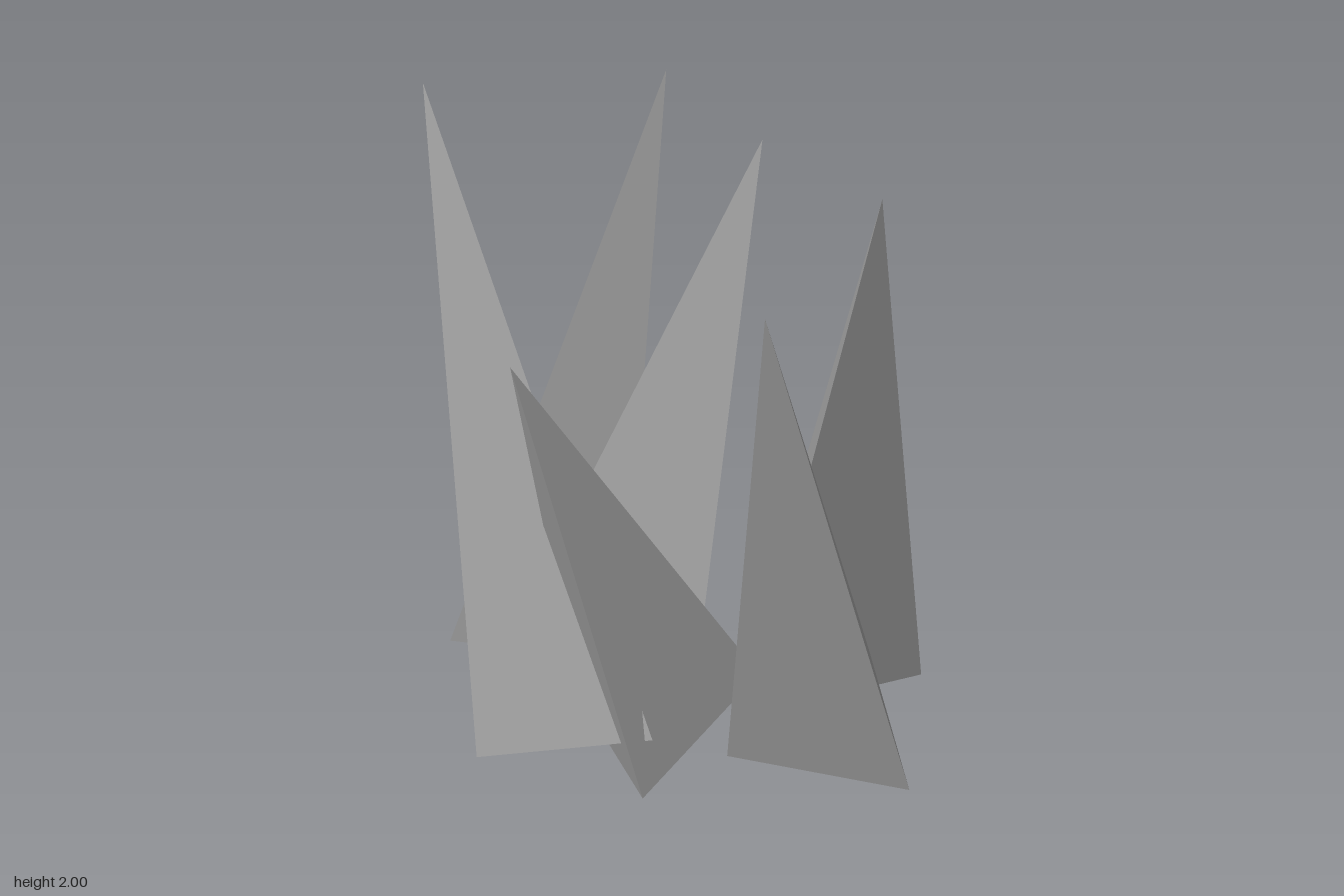
import * as THREE from 'three';

// Each spike: apex point, centre of its triangular base
const SPIKES = [
  ['frontLeftSpike', [0.285, 2.0, 0.6], [0.4, 0.07, 0.088]],
  ['frontSpike', [-0.28, 1.93, 0.815], [0.235, 0.071, 0.433]],
  ['backRightSpike', [-0.428, 1.97, -0.678], [-0.347, 0.07, 0.003]],
  ['rightSpike', [-0.59, 1.415, -0.015], [-0.15, 0.068, 0.11]],
  ['innerSpike', [0.42, 1.71, -0.187], [0.027, 0.066, -0.341]],
  ['backSpike', [0.423, 1.68, -0.67], [-0.212, 0.062, -0.513]],
];
const RADIUS = 0.318;

// A three-sided cone leaning from base to apex, one corner lifted away from the lean
function makeSpike(name, apexPoint, basePoint, material) {
  const apex = new THREE.Vector3(...apexPoint);
  const base = new THREE.Vector3(...basePoint);
  const axis = apex.clone().sub(base);
  const height = axis.length();
  axis.normalize();
  const uphill = new THREE.Vector3(0, 1, 0).addScaledVector(axis, -axis.y).normalize();
  const side = new THREE.Vector3().crossVectors(axis, uphill);

  const geometry = new THREE.ConeGeometry(RADIUS, height, 3, 1);
  geometry.translate(0, height / 2, 0);
  geometry.applyMatrix4(new THREE.Matrix4().makeBasis(side, axis, uphill).setPosition(base));
  const mesh = new THREE.Mesh(geometry, material);
  mesh.name = name;
  return mesh;
}

export function createModel() {
  const group = new THREE.Group();
  group.name = 'spikeCluster';
  const stone = new THREE.MeshStandardMaterial({ color: 0xa0a0a0, flatShading: true });
  stone.name = 'grey stone';
  for (const [name, apex, base] of SPIKES) group.add(makeSpike(name, apex, base, stone));
  return group;
}
